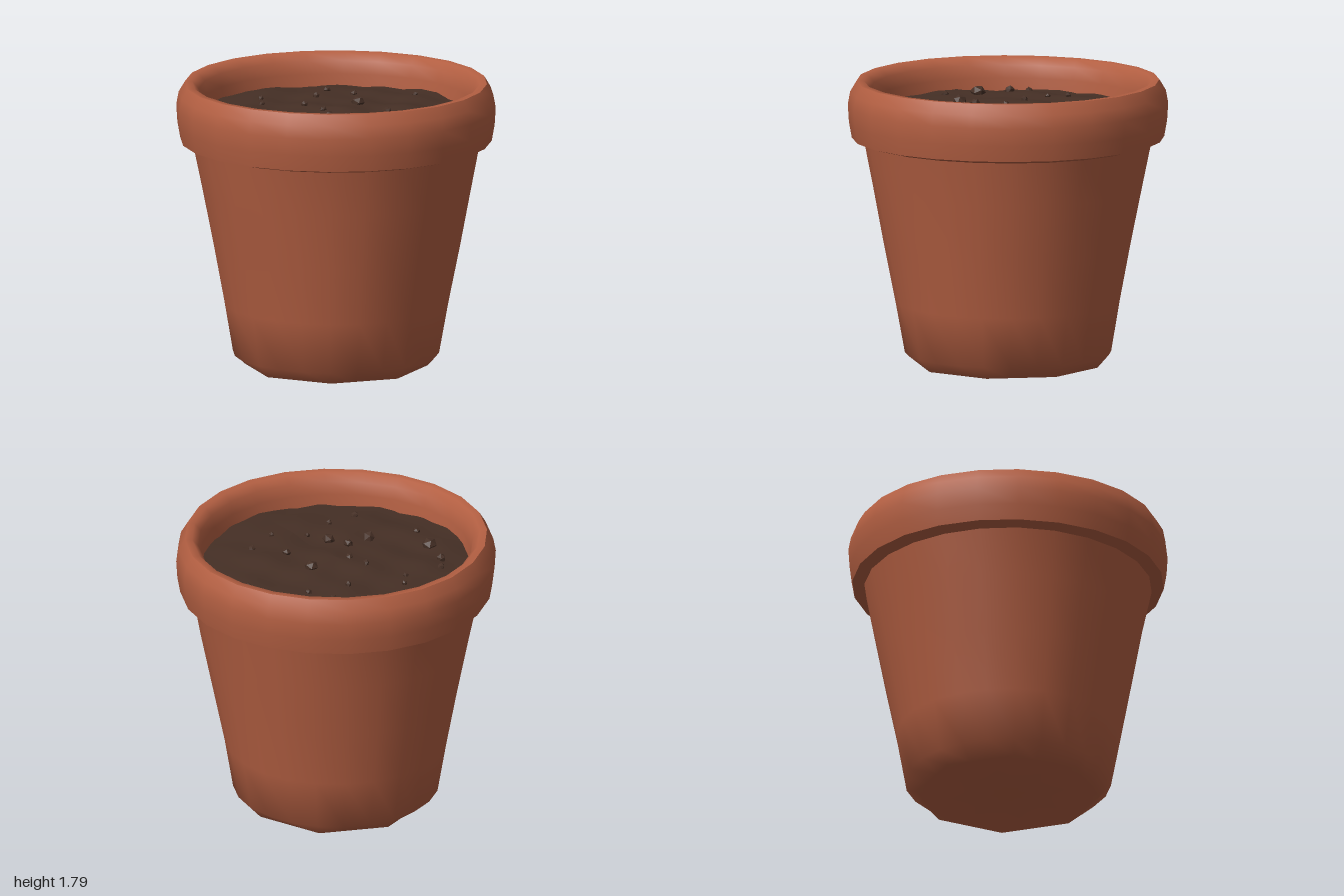
import * as THREE from 'three';
import { toCreasedNormals } from 'three/addons/utils/BufferGeometryUtils.js';

const terracotta = new THREE.MeshStandardMaterial({ color: 0xb35f42 });
terracotta.name = 'terracotta';
const soilBrown = new THREE.MeshStandardMaterial({ color: 0x452f25 });
soilBrown.name = 'soil brown';

const SIDES = 24;

// Apply a vertex rule: rule(vector) changes the vector in place
function reshape(geometry, rule) {
  const p = geometry.attributes.position;
  const v = new THREE.Vector3();
  for (let i = 0; i < p.count; i++) {
    rule(v.fromBufferAttribute(p, i));
    p.setXYZ(i, v.x, v.y, v.z);
  }
  geometry.computeVertexNormals();
  return geometry;
}

function lathe(name, profile, rule) {
  const points = profile.map(([r, y]) => new THREE.Vector2(r, y));
  const geometry = reshape(new THREE.LatheGeometry(points, SIDES), rule);
  const mesh = new THREE.Mesh(toCreasedNormals(geometry, 0.9), terracotta);
  mesh.name = name;
  return mesh;
}

// Gently uneven soil surface
function soilHeight(x, z) {
  const r = Math.hypot(x, z);
  return 1.62 - 0.04 * r * r
    + 0.010 * Math.sin(9 * x + 2) * Math.cos(8 * z)
    + 0.007 * Math.sin(17 * x - 11 * z) + 0.005 * Math.cos(21 * z + 6 * x);
}

export function createModel() {
  const pot = new THREE.Group();
  pot.name = 'flowerPot';

  // Tapered body; the foot is trimmed to a rough polygon
  pot.add(lathe('body', [
    [0, 0], [0.57, 0], [0.64, 0.08], [0.70, 0.4], [0.77, 0.76], [0.84, 1.12], [0.895, 1.42],
  ], (v) => {
    const angle = Math.atan2(v.z, v.x);
    let k = 1;
    if (v.y < 0.01) {
      const step = Math.PI / 4;
      const local = ((angle + Math.PI * 2) % step) - step / 2;
      k = Math.cos(step / 2) / Math.cos(local);
    } else if (v.y > 0.2 && v.y < 1.3) {
      k = 1 - 0.006 * (1 + Math.sin(5 * angle + 3 * v.y));
    }
    v.x *= k;
    v.z *= k;
  }));

  // Heavy rolled rim with its inner wall
  pot.add(lathe('rim', [
    [0.885, 1.405], [0.975, 1.43], [0.993, 1.53], [1.0, 1.64], [0.985, 1.72], [0.945, 1.787],
    [0.90, 1.785], [0.86, 1.74], [0.845, 1.66], [0.83, 1.5],
  ], (v) => {
    const angle = Math.atan2(v.z, v.x);
    const k = 1 - 0.004 * (1 - Math.cos(4 * angle));
    v.x *= k;
    v.z *= k;
  }));

  // Soil surface
  const disc = new THREE.RingGeometry(0.001, 0.85, 40, 14).rotateX(-Math.PI / 2);
  reshape(disc, (v) => { v.y = soilHeight(v.x, v.z); });
  const soil = new THREE.Mesh(disc, soilBrown);
  soil.name = 'soil';
  pot.add(soil);

  // Small clods scattered on the soil: x, z, radius
  const clods = [
    [-0.02, -0.2, 0.045], [0.25, 0.12, 0.045], [0.14, 0.34, 0.045], [-0.15, 0.6, 0.05],
    [0.13, 0.18, 0.035], [-0.18, 0.1, 0.025], [-0.03, 0.08, 0.025], [0.4, 0.06, 0.02],
    [0.47, 0.27, 0.025], [-0.45, -0.33, 0.025], [-0.28, -0.4, 0.025], [-0.35, -0.15, 0.025],
    [0.44, -0.33, 0.025], [0.25, -0.2, 0.03], [-0.35, 0.55, 0.035], [-0.45, 0.48, 0.025],
    [-0.43, 0.23, 0.02], [-0.53, 0.15, 0.02], [0.45, 0.45, 0.025], [0.06, 0.65, 0.025],
    [0, -0.66, 0.02], [0.52, -0.13, 0.02],
  ];
  const clodGeometry = new THREE.IcosahedronGeometry(1, 0);
  const clodGroup = new THREE.Group();
  clodGroup.name = 'soilClods';
  clods.forEach(([x, z, r], i) => {
    const clod = new THREE.Mesh(clodGeometry, soilBrown);
    clod.name = 'clod';
    clod.position.set(x, soilHeight(x, z) + r * 0.2, z);
    clod.scale.set(r, r * 0.8, r);
    clod.rotation.set(i, i * 2.1, 0);
    clodGroup.add(clod);
  });
  pot.add(clodGroup);

  return pot;
}
